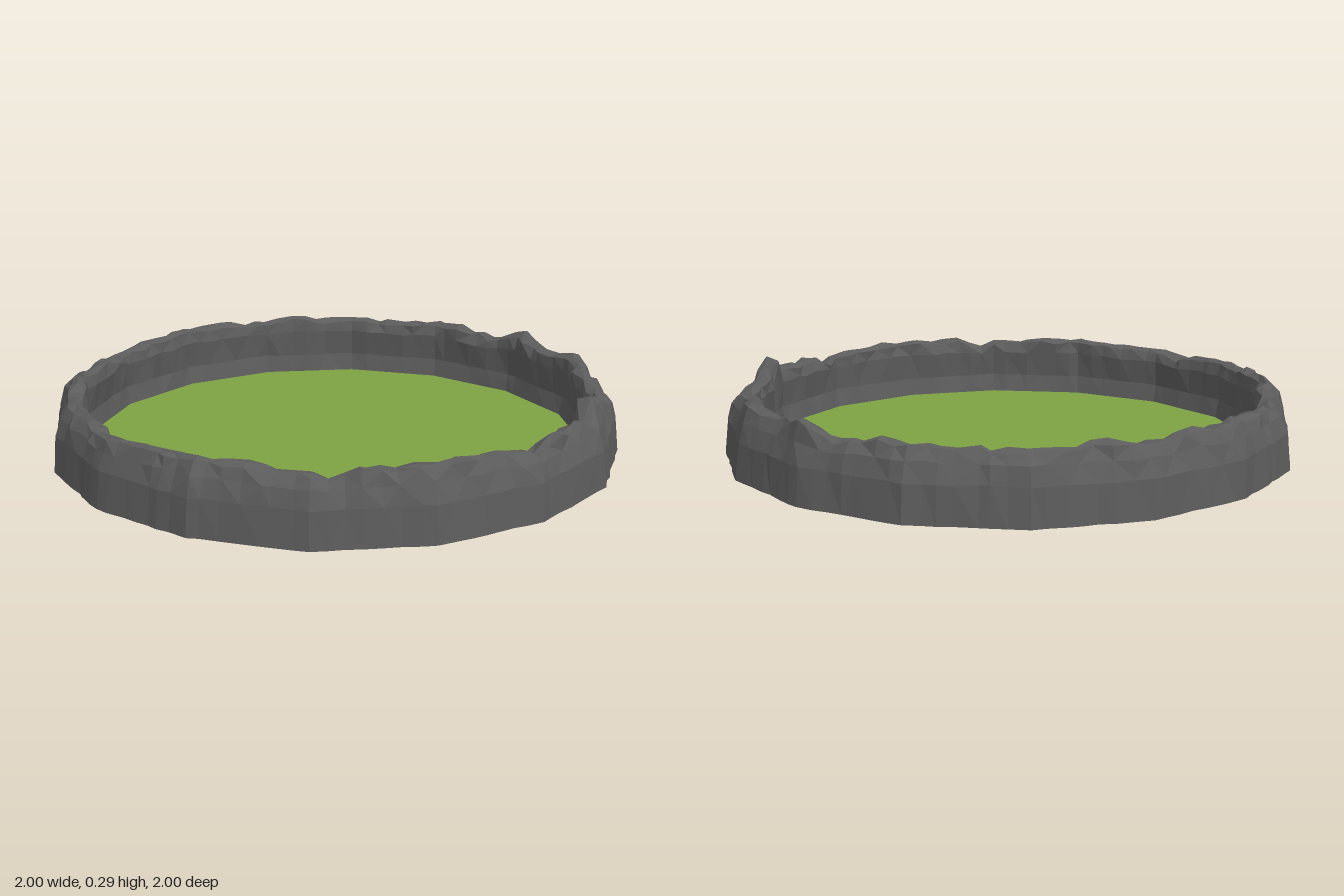
import * as THREE from 'three';

const SIDES = 16, STEPS = 7, COUNT = SIDES * STEPS;

const mat = (name, color) => {
  const m = new THREE.MeshStandardMaterial({ color });
  m.name = name;
  return m;
};

// small seeded random, returns -1..1
function seeded(seed) {
  let s = seed;
  return () => {
    s = (s * 16807) % 2147483647;
    return (s / 2147483647) * 2 - 1;
  };
}

// local peaks and notches of the rim: angle (degrees, from +x towards +z), height, width in degrees
const RIM_FEATURES = [
  [-4, 0.06, 2], [-64, 0.035, 5], [-45, 0.02, 6], [-90, 0.012, 8], [65, -0.03, 3],
  [118, -0.022, 3], [20, -0.03, 4], [-22, -0.025, 4], [150, 0.012, 8], [205, 0.012, 6],
  [180, -0.02, 4], [232, 0.012, 5], [-75, -0.02, 3], [40, 0.01, 8],
];

// cross-section from outer foot over the rim to the inner foot: radius, height, roughness, share of rim features
const PROFILE = [
  [1.0, 0, 0.003, 0], [0.987, 0.125, 0.004, 0], [0.966, 0.185, 0.008, 0.3],
  [0.943, 0.222, 0.011, 0.9], [0.918, 0.228, 0.011, 1], [0.892, 0.217, 0.011, 0.9],
  [0.884, 0.18, 0.006, 0.3], [0.892, 0.085, 0.003, 0], [0.878, 0.02, 0, 0],
];

// ring of a sixteen-sided polygon
function polygonRadius(a) {
  const seg = (Math.PI * 2) / SIDES;
  return Math.cos(seg / 2) / Math.cos((((a % seg) + seg) % seg) - seg / 2);
}

function makeRings() {
  const rnd = seeded(4711);
  const angles = [], rim = [], push = [];
  for (let i = 0; i < COUNT; i++) {
    const onCorner = i % STEPS === 0;
    angles.push(((i + (onCorner ? 0 : rnd() * 0.3)) / COUNT) * Math.PI * 2);
    const deg = (angles[i] * 180) / Math.PI;
    let h = rnd() * 0.007;
    for (const [at, height, width] of RIM_FEATURES) {
      const d = ((deg - at + 540) % 360) - 180;
      h += height * Math.exp(-(d * d) / (width * width));
    }
    rim.push(h);
    push.push(onCorner ? 0 : rnd() * 0.003);
  }
  return PROFILE.map(([r, y, rough, share]) =>
    angles.map((a, i) => {
      const radius = r * polygonRadius(a) + (rough ? push[i] + rnd() * rough : 0);
      const height = y === 0 ? 0 : y + rim[i] * share + rnd() * rough * 0.6;
      return new THREE.Vector3(Math.cos(a) * radius, height, Math.sin(a) * radius);
    }));
}

// flat-faceted skin between consecutive rings
function skin(rings) {
  const pts = [];
  for (let j = 0; j < rings.length - 1; j++) {
    for (let i = 0; i < COUNT; i++) {
      const k = (i + 1) % COUNT;
      const a = rings[j][i], b = rings[j + 1][i], c = rings[j + 1][k], d = rings[j][k];
      if ((i + j) % 2) pts.push(a, b, d, b, c, d);
      else pts.push(a, b, c, a, c, d);
    }
  }
  const geo = new THREE.BufferGeometry().setFromPoints(pts);
  geo.computeVertexNormals();
  return geo;
}

// flat disc filling a ring, facing up or down
function disc(ring, y, up) {
  const s = up ? -1 : 1;
  const geo = new THREE.ShapeGeometry(new THREE.Shape(ring.map(p => new THREE.Vector2(p.x, s * p.z))));
  return geo.rotateX((s * Math.PI) / 2).translate(0, y, 0);
}

export function createModel() {
  const group = new THREE.Group();
  group.name = 'rockRingArena';
  const rings = makeRings();
  const add = (name, geo, material) => {
    const mesh = new THREE.Mesh(geo, material);
    mesh.name = name;
    group.add(mesh);
  };
  // jagged circular rock wall
  add('rockWall', skin(rings), mat('rock grey', 0x5c5c5c));
  // grass floor inside the wall
  add('grassFloor', disc(rings[rings.length - 1], 0.02, true), mat('grass green', 0x7da343));
  // dark underside
  add('underside', disc(rings[0], 0, false), mat('underside black', 0x141414));
  return group;
}
